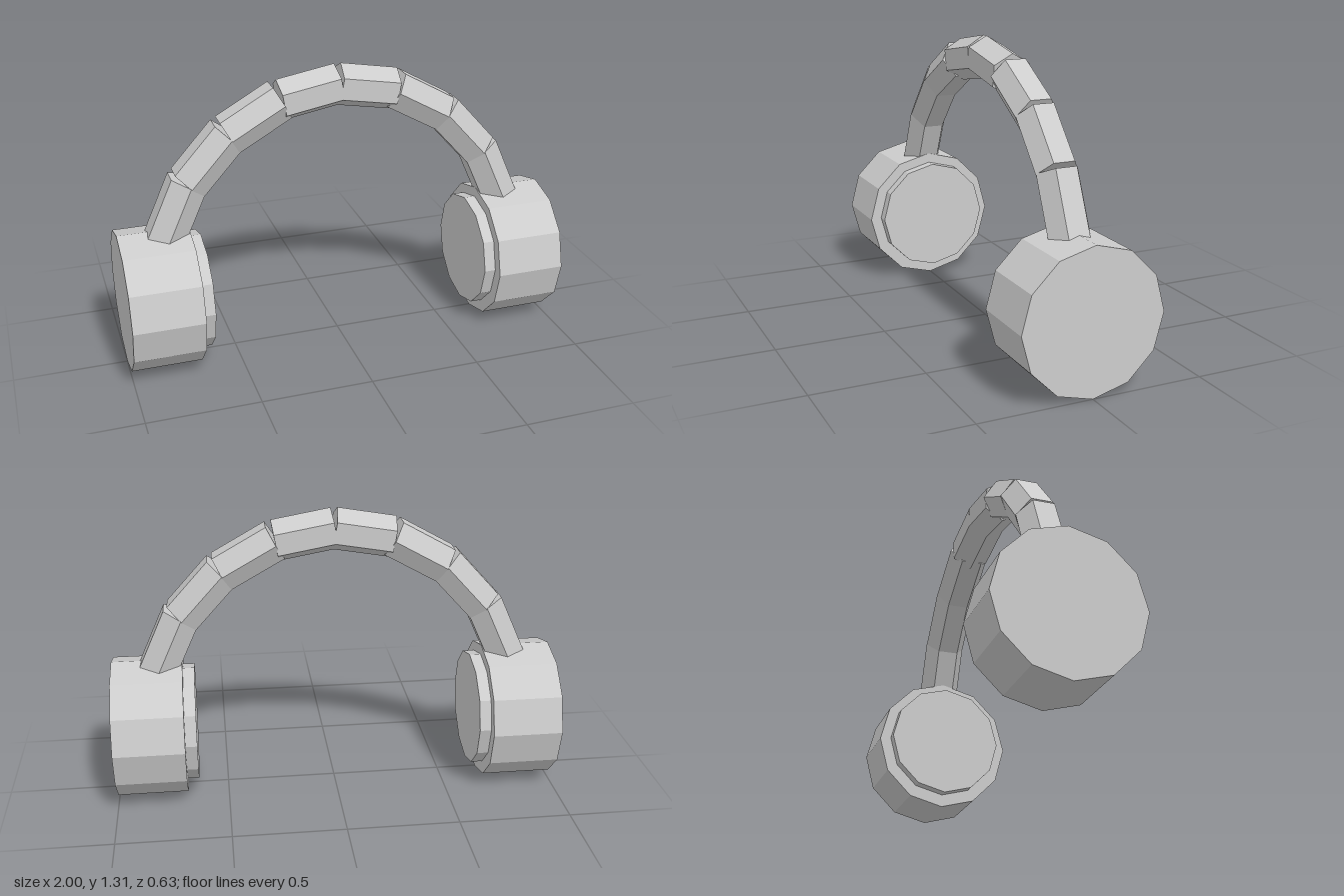
import * as THREE from 'three';

export function createModel() {
  const model = new THREE.Group();
  model.name = 'headphones';
  const grey = new THREE.MeshStandardMaterial({ color: 0xcccccc, flatShading: true });
  grey.name = 'plainGrey';

  // Faceted cylinder placed in the x-y plane; tilt is the angle of its axis from x
  function addBar(name, radius, length, sides, x, y, tilt, roll = 0) {
    const geometry = new THREE.CylinderGeometry(radius, radius, length, sides);
    geometry.rotateY(THREE.MathUtils.degToRad(roll));
    const mesh = new THREE.Mesh(geometry, grey);
    mesh.name = name;
    mesh.position.set(x, y, 0);
    mesh.rotation.z = THREE.MathUtils.degToRad(tilt + 90);
    model.add(mesh);
  }

  // Hexagonal headband links from crown to cup: x, y, slope, length, roll
  const links = [
    [0.129, 1.191, 10, 0.265, 30],
    [0.377, 1.103, 29.5, 0.27, 0],
    [0.586, 0.94, 48, 0.272, 0],
    [0.741, 0.707, 65.8, 0.3, 0],
  ];

  for (const [side, label] of [[1, 'left'], [-1, 'right']]) {
    addBar(label + 'EarCup', 0.315, 0.315, 12, side * 0.8425, 0.315, 0);
    addBar(label + 'EarPad', 0.263, 0.07, 12, side * 0.668, 0.321, 0);
    links.forEach(([x, y, slope, length, roll], i) =>
      addBar(label + 'BandLink' + (i + 1), 0.095, length, 6, side * x, y, -side * slope, roll));
  }
  return model;
}
